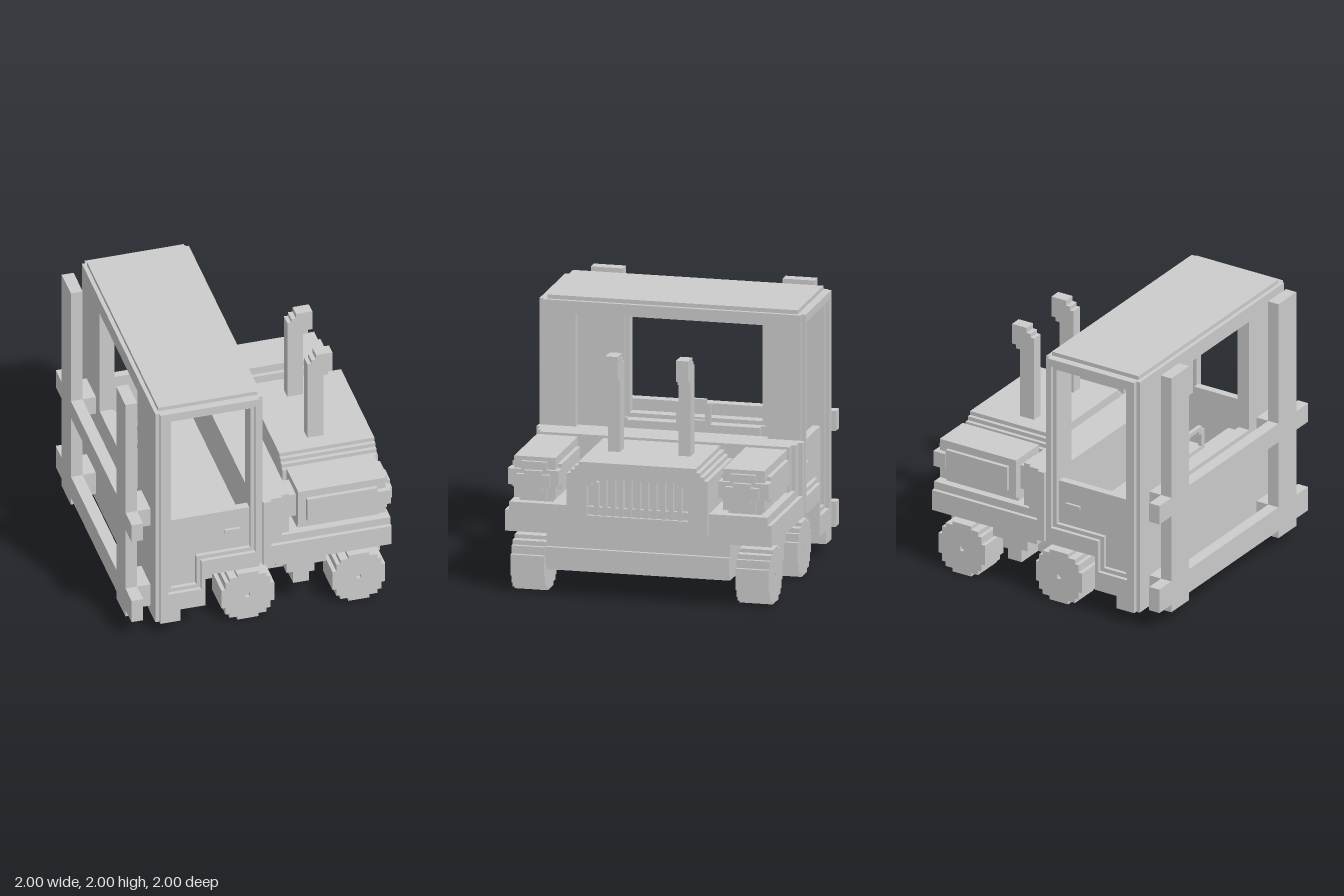
import * as THREE from 'three';

const mat = new THREE.MeshStandardMaterial({ color: 0xcccccc, flatShading: true });

export function createModel() {
  const root = new THREE.Group();

  const add = (name, geo) => {
    const m = new THREE.Mesh(geo, mat);
    m.name = name;
    root.add(m);
    return m;
  };
  // Box given by its limits on each axis
  const box = (name, x0, x1, y0, y1, z0, z1) =>
    add(name, new THREE.BoxGeometry(x1 - x0, y1 - y0, z1 - z0)
      .translate((x0 + x1) / 2, (y0 + y1) / 2, (z0 + z1) / 2));
  // The same box on both sides of the vehicle
  const pair = (name, x0, x1, y0, y1, z0, z1) => {
    box(name, x0, x1, y0, y1, z0, z1);
    box(name, x0, x1, y0, y1, -z1, -z0);
  };
  const makeShape = (pts, hole) => {
    const s = new THREE.Shape(pts.map(p => new THREE.Vector2(...p)));
    if (hole) s.holes.push(new THREE.Path(hole.map(p => new THREE.Vector2(...p))));
    return s;
  };
  const extrude = (pts, hole, depth) =>
    new THREE.ExtrudeGeometry(makeShape(pts, hole), { depth, bevelEnabled: false });
  // Outline in x-y, extruded along z, on both sides
  const sidePair = (name, pts, hole, z0, z1) => {
    add(name, extrude(pts, hole, z1 - z0).translate(0, 0, z0));
    add(name, extrude(pts, hole, z1 - z0).translate(0, 0, -z1));
  };
  // Outline in z-y, extruded along x
  const crossPart = (name, pts, hole, x0, x1) =>
    add(name, extrude(pts, hole, x1 - x0).rotateY(Math.PI / 2).translate(x0, 0, 0));
  const rect = (a0, a1, b0, b1) => [[a0, b0], [a1, b0], [a1, b1], [a0, b1]];
  const symmetric = half => [...half, ...half.slice().reverse().map(([a, b]) => [-a, b])];

  // Rear lift frame
  pair('rearPost', -1, -0.91, 0.1, 2, 0.6, 0.84);
  for (const [y0, y1] of [[0.16, 0.35], [0.88, 1.03]]) {
    box('rearCrossbar', -0.999, -0.911, y0, y1, -1, 1);
    pair('rearBracket', -0.91, -0.81, y0, y1, 0.6, 0.84);
  }

  // Cab sides: two stepped layers around the door opening
  const cabOutline = (x0, x1) => [[x0, 0.1], [-0.63, 0.1], [-0.63, 0.2], [-0.44, 0.2],
    [-0.44, 0.47], [x1, 0.47], [x1, 1.97], [x0, 1.97]];
  const doorOutline = (d, top) => [[-0.72 + d, 0.35 + d], [-0.47 - d, 0.35 + d], [-0.47 - d, 0.6 + d],
    [-0.06 - d, 0.6 + d], [-0.06 - d, top], [-0.72 + d, top]];
  sidePair('cabSide', cabOutline(-0.81, 0), doorOutline(0.03, 1.88), 0.91, 0.97);
  sidePair('cabSideTrim', cabOutline(-0.78, -0.03), doorOutline(0, 1.91), 0.97, 1);
  sidePair('door', doorOutline(0.03, 0.97), null, 0.88, 0.94);
  pair('doorHandle', -0.28, -0.16, 0.78, 0.81, 0.94, 0.96);

  // Cab front, back, roof and floor
  crossPart('cabFrontFrame', rect(-0.92, 0.92, 0.9, 1.97), rect(-0.72, 0.72, 1.03, 1.88), -0.06, 0);
  crossPart('cabBackWall', rect(-0.92, 0.92, 0.1, 1.97), rect(-0.5, 0.5, 0.97, 1.85), -0.81, -0.72);
  crossPart('backWindowTrim', rect(-0.92, 0.92, 0.45, 1.95), rect(-0.53, 0.53, 0.94, 1.88), -0.72, -0.69);
  box('roofEdge', -0.8, -0.01, 1.9, 1.969, -0.96, 0.96);
  box('roof', -0.78, -0.03, 1.96, 2, -0.94, 0.94);
  box('cabFloor', -0.72, 0, 0.4, 0.5, -0.69, 0.69);
  pair('cabFloorEdge', -0.44, 0, 0.47, 0.5, 0.69, 0.92);
  box('rearSill', -0.74, -0.63, 0.1, 0.47, -0.92, 0.92);
  box('cabSill', -0.63, -0.44, 0.2, 0.47, -0.92, 0.92);

  // Grab handle at the rear window
  box('rearLedge', -0.69, -0.63, 0.88, 0.94, -0.5, 0.5);
  crossPart('grabHandle', symmetric([[0.13, 0.94], [0.13, 1.1], [0.1, 1.1], [0.1, 1.13]]),
    symmetric([[0.09, 0.97], [0.09, 1.07], [0.06, 1.07], [0.06, 1.1]]), -0.66, -0.63);

  // Chassis
  box('underbody', -0.63, 0.97, 0.2, 0.47, -0.69, 0.69);
  box('chassis', 0, 0.97, 0.47, 0.63, -1, 1);
  box('chassisDeck', 0, 0.97, 0.63, 0.69, -0.97, 0.97);
  box('bumper', 0.97, 1, 0.25, 0.375, -0.69, 0.69);
  sidePair('wheelGuard', [[0.25, 0.2], [0.37, 0.2], [0.37, 0.28], [0.41, 0.28], [0.41, 0.35], [0.5, 0.35],
    [0.5, 0.47], [0.12, 0.47], [0.12, 0.38], [0.2, 0.38], [0.2, 0.3], [0.25, 0.3]], null, 0.68, 0.91);

  // Cowl in front of the cab
  box('cowl', 0, 0.06, 0.6, 1.03, -1, 1);
  box('cowlStep', 0.06, 0.15, 0.65, 1.03, -0.97, 0.97);
  box('cowlFront', 0.15, 0.21, 0.65, 1.03, -0.94, 0.94);

  // Hood with a framed grille
  const hoodOutline = bottom => symmetric([[0.53, bottom], [0.53, 0.94], [0.5, 0.94], [0.5, 0.97],
    [0.47, 0.97], [0.47, 1], [0.44, 1], [0.44, 1.03]]);
  const grilleOutline = symmetric([[0.38, 0.63], [0.38, 0.85], [0.345, 0.85], [0.345, 0.88],
    [0.31, 0.88], [0.31, 0.91]]);
  crossPart('hood', hoodOutline(0.6), null, 0.28, 0.94);
  crossPart('grilleFrame', hoodOutline(0.53), grilleOutline, 0.94, 1);
  for (let i = -5; i <= 5; i++) {
    const z = i * 0.0625;
    box('grilleSlat', 0.94, 0.985, 0.63, Math.abs(i) > 4 ? 0.88 : 0.91, z - 0.016, z + 0.016);
  }

  // Exhaust stacks
  sidePair('exhaustStack', [[0.53, 1.02], [0.65, 1.02], [0.65, 1.57], [0.685, 1.57], [0.685, 1.6], [0.72, 1.6],
    [0.72, 1.76], [0.595, 1.76], [0.595, 1.72], [0.56, 1.72], [0.56, 1.69], [0.53, 1.69]], null, 0.22, 0.31);

  // Lamp pods above the front wheels
  pair('lampPod', 0.28, 0.94, 0.72, 1.03, 0.63, 0.94);
  pair('lampPodSide', 0.34, 0.87, 0.78, 0.97, 0.6, 0.97);
  pair('lampPodFoot', 0.28, 0.9, 0.68, 0.72, 0.66, 0.91);
  pair('lampPodTail', 0.21, 0.28, 0.78, 0.97, 0.69, 0.88);
  pair('lampBand', 0.87, 0.97, 0.82, 0.94, 0.6, 0.98);
  pair('lampUpright', 0.94, 0.97, 0.72, 1.0, 0.69, 0.88);
  pair('lampLens', 0.94, 1, 0.82, 0.91, 0.66, 0.91);
  pair('lampLensUpright', 0.94, 1, 0.78, 0.94, 0.72, 0.85);

  // Wheels with stepped rims and a small hub hole
  const quarter = [[0.2, 0.08], [0.17, 0.08], [0.17, 0.14], [0.14, 0.14], [0.14, 0.175], [0.08, 0.175], [0.08, 0.203]];
  const upper = symmetric(quarter);
  const wheelOutline = [...upper, ...upper.map(([x, y]) => [-x, -y])];
  for (const x of [-0.11, 0.73]) {
    const at = pts => pts.map(([a, b]) => [a + x, b + 0.203]);
    sidePair('wheel', at(wheelOutline), at(rect(-0.016, 0.016, -0.016, 0.016)), 0.72, 0.97);
    pair('axle', x - 0.016, x + 0.016, 0.187, 0.219, 0.68, 0.94);
  }
  return root;
}
